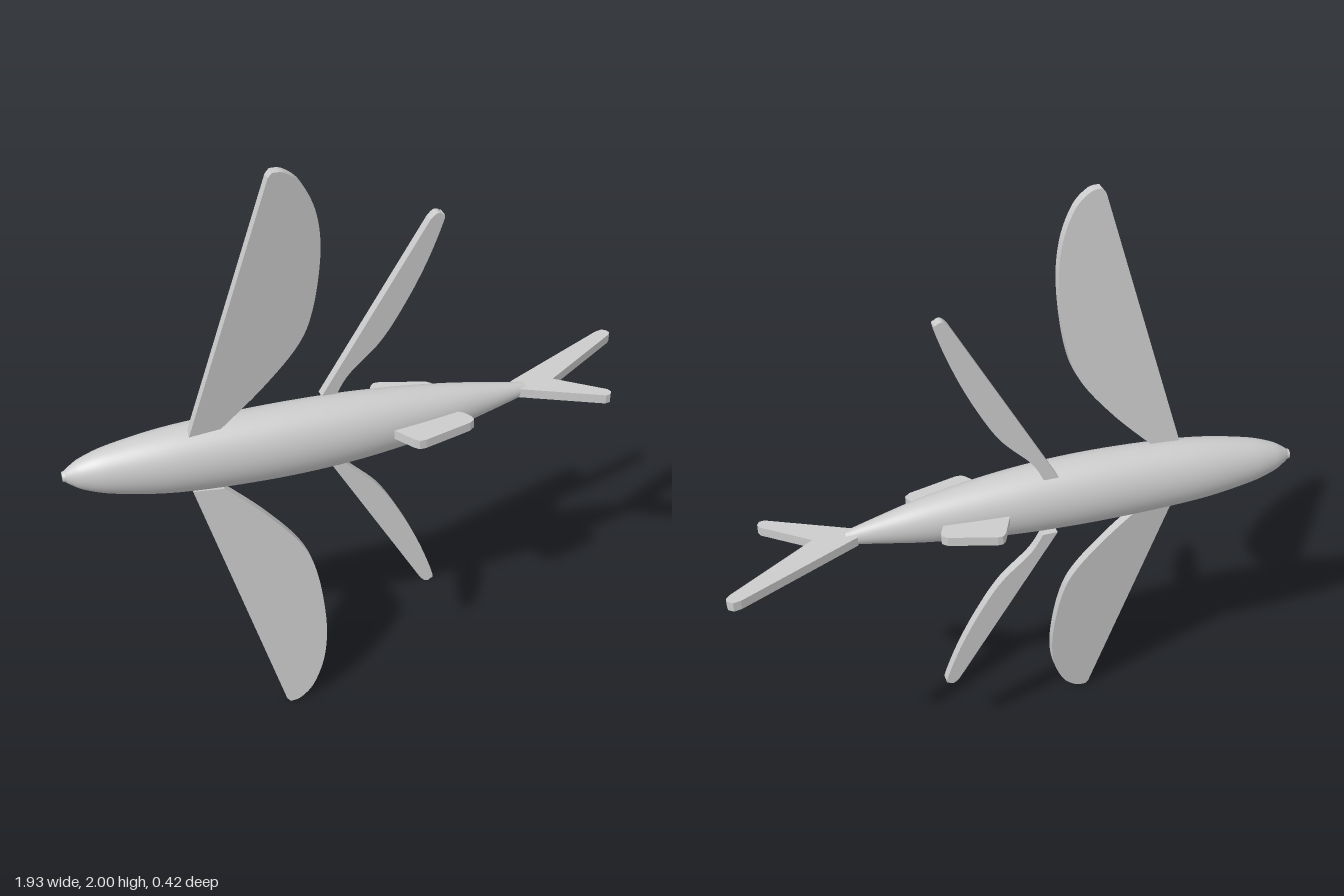
import * as THREE from 'three';

const material = new THREE.MeshStandardMaterial({ color: 0xcccccc });
const THICK = 0.032;

function addMesh(group, name, geometry) {
  const mesh = new THREE.Mesh(geometry, material);
  mesh.name = name;
  group.add(mesh);
  return mesh;
}

// Thin plate: straight corners first, then an optional smooth trailing edge
function plate(corners, curve = []) {
  const shape = new THREE.Shape(corners.map(p => new THREE.Vector2(...p)));
  if (curve.length) shape.splineThru(curve.map(p => new THREE.Vector2(...p)));
  const geometry = new THREE.ExtrudeGeometry(shape, { depth: THICK, bevelEnabled: false, curveSegments: 28 });
  geometry.translate(0, 0, -THICK / 2);
  return geometry;
}

// Side fin, outlined by x and height above the body axis, leaning forward in z
function sideFin(corners, curve, side, rootZ, slope) {
  const flip = ([x, y]) => [x, y * side];
  const geometry = plate(corners.map(flip), curve.map(flip));
  const pos = geometry.attributes.position;
  for (let i = 0; i < pos.count; i++) {
    pos.setZ(i, pos.getZ(i) + rootZ + slope * (Math.abs(pos.getY(i)) - 0.11));
  }
  geometry.computeVertexNormals();
  return geometry.translate(0, 1, 0);
}

// Flat fin in the x-z plane at the height of the body axis
function flatFin(corners) {
  return plate(corners).rotateX(Math.PI / 2).translate(0, 1, 0);
}

// Spindle body, narrower in z and bowed slightly towards +z
function bodyGeometry() {
  const profile = new THREE.SplineCurve([
    [0.016, -0.962], [0.033, -0.94], [0.055, -0.9], [0.082, -0.81], [0.111, -0.62], [0.123, -0.34],
    [0.119, -0.1], [0.103, 0.1], [0.077, 0.29], [0.049, 0.43], [0.022, 0.555],
  ].map(p => new THREE.Vector2(...p))).getPoints(60);
  const geometry = new THREE.LatheGeometry(profile, 48);
  geometry.rotateZ(-Math.PI / 2).scale(1, 1, 0.855);
  const pos = geometry.attributes.position;
  for (let i = 0; i < pos.count; i++) {
    const t = (pos.getX(i) + 0.2) / 0.76;
    pos.setZ(i, pos.getZ(i) + 0.015 + 0.025 * (1 - t * t));
  }
  return geometry.translate(0, 1, 0);
}

export function createModel() {
  const model = new THREE.Group();
  model.name = 'wingedFish';

  addMesh(model, 'body', bodyGeometry());

  // Blunt ends of the body
  const snout = addMesh(model, 'snout', new THREE.CylinderGeometry(0.024, 0.016, 0.035, 24));
  snout.rotation.z = -Math.PI / 2;
  snout.position.set(-0.949, 1, 0.015);
  const tailCap = addMesh(model, 'tailCap', new THREE.CylinderGeometry(0.022, 0.026, 0.02, 24));
  tailCap.rotation.z = -Math.PI / 2;
  tailCap.scale.z = 0.855;
  tailCap.position.set(0.547, 1, 0.015);

  for (const [label, side] of [['upper', 1], ['lower', -1]]) {
    // Large wing-like fins
    addMesh(model, label + 'Wing', sideFin(
      [[-0.48, 0.115], [-0.58, 0.105], [-0.33, 0.985], [-0.318, 1]],
      [[-0.28, 0.993], [-0.23, 0.945], [-0.188, 0.84], [-0.175, 0.7], [-0.195, 0.51],
        [-0.24, 0.385], [-0.35, 0.245], [-0.48, 0.115]],
      side, 0.065, 0.118));

    // Slender rear fins
    addMesh(model, label + 'RearFin', sideFin(
      [[-0.085, 0.11], [-0.135, 0.11], [0.2, 0.7]],
      [[0.219, 0.717], [0.237, 0.712], [0.243, 0.69], [0.195, 0.55], [0.13, 0.41],
        [0.055, 0.285], [-0.045, 0.18], [-0.085, 0.11]],
      side, -0.01, 0.066));
  }

  // Small fins along the back and belly
  addMesh(model, 'backFin', flatFin(
    [[0.03, -0.04], [0.075, -0.135], [0.088, -0.147], [0.105, -0.147], [0.255, -0.102],
      [0.27, -0.088], [0.268, -0.07], [0.245, -0.025]]));
  addMesh(model, 'bellyFin', flatFin(
    [[0.055, 0.11], [0.11, 0.192], [0.124, 0.205], [0.145, 0.205], [0.31, 0.162],
      [0.328, 0.148], [0.325, 0.13], [0.31, 0.105], [0.27, 0.075]]));

  // Forked tail
  addMesh(model, 'tailFin', flatFin(
    [[0.522, -0.015], [0.92, -0.207], [0.945, -0.212], [0.96, -0.2], [0.962, -0.185], [0.95, -0.172],
      [0.66, 0.015], [0.805, 0.128], [0.81, 0.143], [0.802, 0.157], [0.785, 0.16], [0.522, 0.033]]));

  return model;
}
